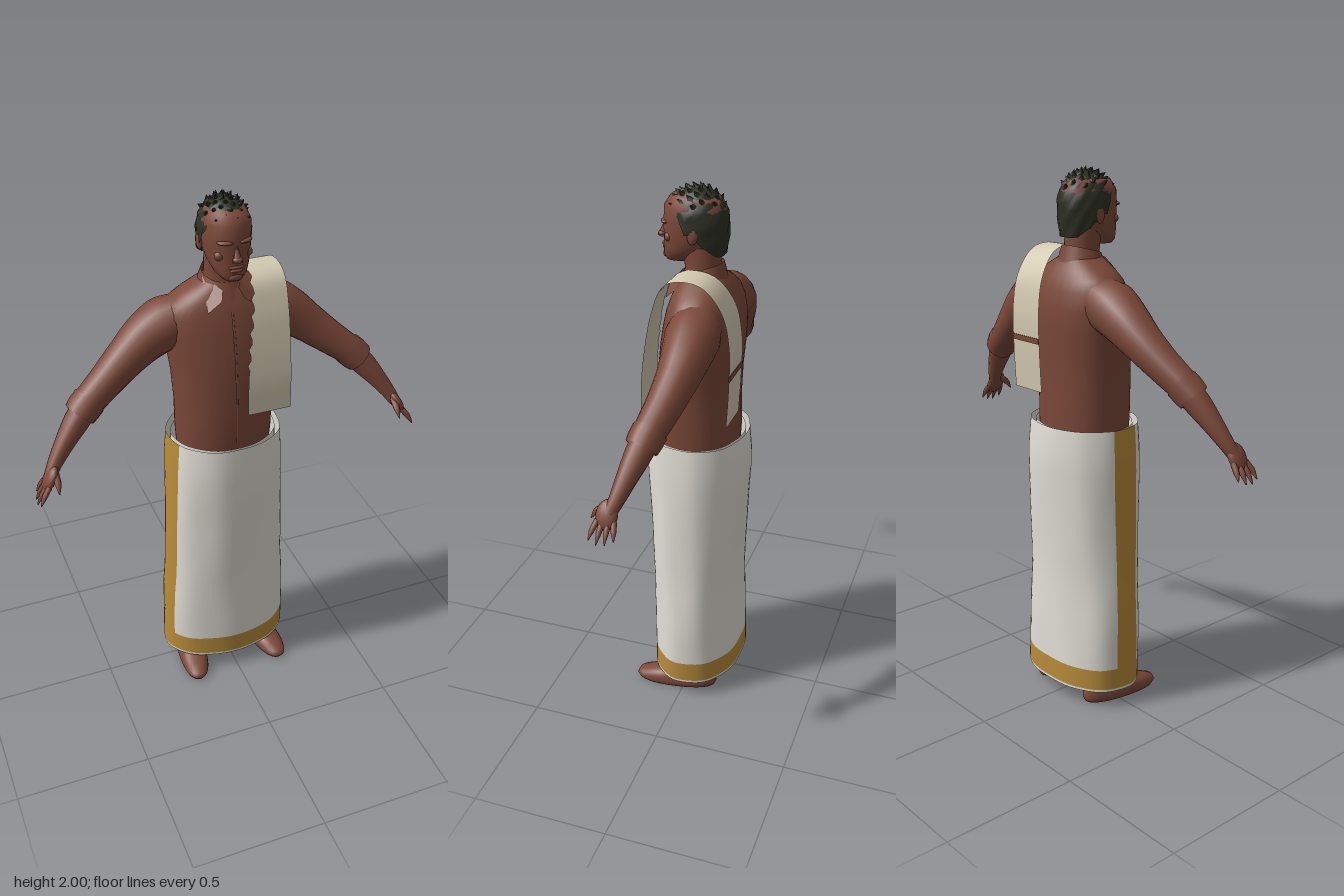
import * as THREE from 'three';

const mat = (name, color) => new THREE.MeshStandardMaterial({ name, color, side: THREE.DoubleSide });

// Closed-around grid: fn(angle, row) gives a point; pick(row, column) gives a material index
function grid(cols, rows, fn, pick) {
  const pos = [], faces = [[], []];
  for (let j = 0; j < rows; j++)
    for (let i = 0; i < cols; i++) pos.push(...fn((i / cols) * Math.PI * 2, j));
  for (let j = 0; j < rows - 1; j++)
    for (let i = 0; i < cols; i++) {
      const a = j * cols + i, b = j * cols + ((i + 1) % cols), c = a + cols, d = b + cols;
      faces[pick ? pick(j, i) : 0].push(a, c, b, b, c, d);
    }
  const g = new THREE.BufferGeometry();
  g.setAttribute('position', new THREE.Float32BufferAttribute(pos, 3));
  g.setIndex(faces.flat());
  if (pick) {
    g.addGroup(0, faces[0].length, 0);
    g.addGroup(faces[0].length, faces[1].length, 1);
  }
  g.computeVertexNormals();
  return g;
}

// Loft through rings [y, half width, front z, back z]
function loft(rings, { cols = 32, p = 1, wave = () => 0, tilt = 0, pick } = {}) {
  const pw = v => Math.sign(v) * Math.abs(v) ** p;
  return grid(cols, rings.length, (a, j) => {
    const [y, w, zf, zb] = rings[j], k = 1 + wave(a, y), s = pw(Math.sin(a));
    return [w * k * pw(Math.cos(a)), y - tilt * s, (zf + zb) / 2 + ((zf - zb) / 2) * k * s];
  }, pick);
}

// Round limb through points [x, y, z, radius]
function limb(pts, steps = 24, sides = 14) {
  const curve = new THREE.CatmullRomCurve3(pts.map(q => new THREE.Vector3(q[0], q[1], q[2])));
  const g = new THREE.TubeGeometry(curve, steps, 1, sides);
  const pos = g.attributes.position, nor = g.attributes.normal;
  for (let i = 0; i < pos.count; i++) {
    const t = curve.getUtoTmapping(Math.floor(i / (sides + 1)) / steps) * (pts.length - 1);
    const k = Math.min(Math.floor(t), pts.length - 2);
    const r = THREE.MathUtils.lerp(pts[k][3], pts[k + 1][3], t - k) - 1;
    pos.setXYZ(i, pos.getX(i) + nor.getX(i) * r, pos.getY(i) + nor.getY(i) * r, pos.getZ(i) + nor.getZ(i) * r);
  }
  return g;
}

export function createModel() {
  const model = new THREE.Group();
  const skin = mat('brown skin', 0x7b4839), hairMat = mat('dark hair', 0x2d2f23);
  const white = mat('white cotton', 0xe2dfd6), gold = mat('gold border', 0xb88c3a);
  const cream = mat('cream cloth', 0xd4cab2);
  const add = (name, geo, material, parent = model) => {
    const m = new THREE.Mesh(geo, material);
    m.name = name;
    parent.add(m);
    return m;
  };
  const ball = (name, parent, p, s, material = skin) => {
    const m = add(name, new THREE.SphereGeometry(1, 16, 12), material, parent);
    m.position.set(...p);
    m.scale.set(...s);
    return m;
  };

  // Torso with sloping shoulders
  add('torso', loft([
    [0.98, 0.17, 0.13, -0.15], [1.1, 0.178, 0.14, -0.155], [1.22, 0.18, 0.14, -0.152],
    [1.34, 0.188, 0.134, -0.156], [1.44, 0.2, 0.122, -0.164], [1.52, 0.212, 0.107, -0.164],
    [1.58, 0.212, 0.092, -0.152], [1.62, 0.19, 0.078, -0.138], [1.65, 0.15, 0.066, -0.12],
    [1.68, 0.095, 0.052, -0.1], [1.7, 0.06, 0.04, -0.08],
  ], { p: 0.88, cols: 40 }), skin);
  add('placket', limb([[0, 1.1, 0.138, 0.004], [0, 1.34, 0.132, 0.004], [0, 1.5, 0.11, 0.004],
    [0, 1.6, 0.085, 0.004]], 12, 6), skin);

  // Neck and collar
  add('neck', loft([[1.62, 0.066, 0.055, -0.085], [1.7, 0.062, 0.045, -0.082],
    [1.74, 0.062, 0.05, -0.082], [1.79, 0.062, 0.06, -0.08]]), skin);
  add('collarBand', loft([[1.655, 0.092, 0.072, -0.105], [1.69, 0.08, 0.058, -0.096],
    [1.715, 0.07, 0.05, -0.09]], { tilt: 0.018 }), skin);

  // Head with jaw, then facial features
  const head = new THREE.Group();
  head.name = 'head';
  model.add(head);
  add('skull', loft([
    [1.724, 0.001, 0.09, 0.07], [1.729, 0.034, 0.114, 0.03], [1.75, 0.054, 0.122, 0],
    [1.78, 0.068, 0.122, -0.05], [1.82, 0.078, 0.121, -0.085], [1.87, 0.084, 0.121, -0.1],
    [1.92, 0.082, 0.118, -0.098], [1.955, 0.064, 0.095, -0.075], [1.975, 0.001, 0.01, -0.005],
  ], { p: 0.92 }), skin, head);
  const nose = add('noseBridge', new THREE.ConeGeometry(0.018, 0.06, 8), skin, head);
  nose.position.set(0, 1.834, 0.124);
  nose.rotation.x = -0.2;
  ball('noseTip', head, [0, 1.813, 0.13], [0.018, 0.011, 0.015]);
  ball('upperLip', head, [0, 1.782, 0.119], [0.027, 0.006, 0.009]);
  ball('lowerLip', head, [0, 1.77, 0.118], [0.023, 0.007, 0.009]);
  ball('chin', head, [0, 1.745, 0.112], [0.026, 0.015, 0.014]);
  for (const s of [-1, 1]) {
    ball('brow', head, [s * 0.035, 1.868, 0.107], [0.028, 0.008, 0.015]).rotation.y = s * 0.35;
    ball('cheek', head, [s * 0.043, 1.818, 0.09], [0.025, 0.018, 0.016]);
    ball('ear', head, [s * 0.084, 1.84, -0.008], [0.01, 0.033, 0.02]).rotation.x = -0.15;
  }

  // Hair cap whose lower edge follows the hairline
  const hairRows = 12;
  add('hair', grid(40, hairRows, (a, j) => {
    const s = Math.sin(a), t = j / (hairRows - 1);
    const edge = s > 0.25 ? THREE.MathUtils.lerp(1.87, 1.925, Math.min(1, (s - 0.25) * 2.5))
      : THREE.MathUtils.lerp(1.84, 1.76, Math.min(1, Math.max(0, -s) * 1.2));
    const y = THREE.MathUtils.lerp(edge, 1.985, Math.sin(t * Math.PI / 2));
    const h = (y - 1.87) / (y > 1.87 ? 0.1151 : 0.26);
    const r = Math.sqrt(Math.max(0, 1 - h * h)) * (1 + 0.025 * Math.sin(a * 9 + j * 2.3));
    return [0.092 * r * Math.cos(a), y, 0.003 + 0.112 * r * s];
  }), hairMat, head);
  // Tufts spread in a spiral over the crown
  for (let i = 0; i < 38; i++) {
    const r = Math.sqrt((i + 0.5) / 38) * 0.87, a = i * 2.4;
    const m = add('hairTuft', new THREE.ConeGeometry(0.018, 0.034, 6), hairMat, head);
    const n = new THREE.Vector3(r * Math.cos(a), Math.sqrt(1 - r * r), r * Math.sin(a));
    m.position.set(n.x * 0.09, 1.872 + n.y * 0.113, 0.003 + n.z * 0.108);
    n.x += 0.4 * Math.sin(i * 1.7);
    n.z += 0.5;
    m.quaternion.setFromUnitVectors(new THREE.Vector3(0, 1, 0), n.normalize());
  }

  for (const s of [-1, 1]) {
    const side = s > 0 ? 'left' : 'right';
    // Collar point
    const flap = new THREE.BufferGeometry();
    flap.setAttribute('position', new THREE.Float32BufferAttribute([
      s * 0.074, 1.705, -0.01, s * 0.09, 1.612, 0.09, s * 0.04, 1.65, 0.092, s * 0.028, 1.68, 0.068], 3));
    flap.setIndex(s > 0 ? [0, 2, 1, 0, 3, 2] : [0, 1, 2, 0, 2, 3]);
    flap.computeVertexNormals();
    add(side + 'CollarPoint', flap, skin);

    // Arm with rolled sleeve, hand and fingers
    const arm = new THREE.Group();
    arm.name = side + 'Arm';
    model.add(arm);
    const path = (pts, ...n) => limb(pts.map(([x, y, z, r]) => [s * x, y, z, r]), ...n);
    add('sleeve', path([[0.1, 1.56, -0.04, 0.075], [0.2, 1.53, -0.048, 0.097], [0.27, 1.49, -0.048, 0.086],
      [0.34, 1.435, -0.04, 0.073], [0.42, 1.37, -0.022, 0.063], [0.5, 1.308, 0, 0.056]], 30, 18), skin, arm);
    add('rolledCuff', path([[0.488, 1.318, -0.004, 0.05], [0.495, 1.312, -0.002, 0.061],
      [0.52, 1.289, 0.006, 0.061], [0.54, 1.27, 0.012, 0.057], [0.543, 1.267, 0.013, 0.04]], 14, 18), skin, arm);
    add('forearm', path([[0.5, 1.308, 0, 0.05], [0.56, 1.242, 0.022, 0.045], [0.61, 1.18, 0.042, 0.035],
      [0.65, 1.125, 0.06, 0.027], [0.675, 1.085, 0.075, 0.022]]), skin, arm);
    ball('palm', arm, [s * 0.678, 1.082, 0.083], [0.02, 0.052, 0.039]).rotation.z = s * 0.5;
    for (let i = 0; i < 4; i++) {
      const z = 0.055 + i * 0.019, len = [0.75, 0.95, 1, 0.85][i];
      add('finger', path([[0.688, 1.065, z, 0.011], [0.688 + 0.027 * len, 1.065 - 0.035 * len, z + 0.006 * (i - 1), 0.01],
        [0.688 + 0.046 * len, 1.065 - 0.07 * len, z + 0.01 * (i - 1), 0.002]], 10, 8), skin, arm);
    }
    add('thumb', path([[0.66, 1.105, 0.09, 0.014], [0.659, 1.08, 0.125, 0.012], [0.662, 1.05, 0.147, 0.002]], 10, 8), skin, arm);

    // Leg and shoe
    add(side + 'Leg', loft([[0.04, 0.042, 0.01, -0.085], [0.12, 0.05, 0.025, -0.085], [0.5, 0.065, 0.06, -0.08],
      [1, 0.085, 0.1, -0.11]], { cols: 20 }).translate(s * 0.12, 0, 0), skin);
    const shoe = add(side + 'Shoe', loft([[0, 0.001, 0.04, 0.03], [0, 0.052, 0.19, -0.115], [0.014, 0.057, 0.2, -0.122],
      [0.032, 0.055, 0.192, -0.12], [0.047, 0.05, 0.15, -0.115], [0.062, 0.045, 0.085, -0.112],
      [0.085, 0.04, 0.03, -0.1]], { p: 0.88 }), skin);
    shoe.position.x = s * 0.15;
    shoe.rotation.y = s * 0.14;
  }

  // Wrapped skirt with gold hem and a gold stripe down its right side
  const skirt = [
    [0.07, 0.252, 0.155, -0.185], [0.08, 0.252, 0.155, -0.185], [0.16, 0.251, 0.155, -0.184],
    [0.25, 0.25, 0.156, -0.182], [0.36, 0.247, 0.155, -0.179], [0.47, 0.238, 0.157, -0.175],
    [0.58, 0.233, 0.163, -0.178], [0.7, 0.229, 0.167, -0.184], [0.82, 0.225, 0.173, -0.19],
    [0.92, 0.222, 0.179, -0.196], [1.0, 0.219, 0.179, -0.195], [1.09, 0.212, 0.174, -0.186]];
  const folds = (a, y) => 0.009 * Math.sin(5 * a + 4 * y) * Math.sin(y * 7) + 0.006 * Math.sin(9 * a - 3 * y);
  add('skirt', loft(skirt, { cols: 64, p: 0.93, wave: folds,
    pick: (j, i) => (j === 1 || (j > 0 && i >= 28 && i < 34) ? 1 : 0) }), [white, gold]);
  add('waistFold', loft([[0.97, 0.2, 0.162, -0.178], [1.085, 0.196, 0.158, -0.172]],
    { cols: 48, wave: folds }), white);

  // Folded cloth over the left shoulder, from front hem to back hem: [inner x, y, z]
  const drape = new THREE.CatmullRomCurve3([
    [0.04, 1.21, 0.146], [0.04, 1.34, 0.143], [0.055, 1.5, 0.122], [0.07, 1.6, 0.1], [0.078, 1.69, 0.062],
    [0.08, 1.717, 0.01], [0.075, 1.705, -0.08], [0.06, 1.62, -0.15], [0.052, 1.5, -0.176],
    [0.05, 1.36, -0.176], [0.05, 1.2, -0.168]].map(q => new THREE.Vector3(...q)));
  const cloth = new THREE.PlaneGeometry(1, 1, 1, 60), cp = cloth.attributes.position;
  for (let i = 0; i < cp.count; i++) {
    const k = Math.floor(i / 2), p = drape.getPointAt(1 - k / 60);
    const ragged = p.z > 0 && p.y > 1.38 ? 0.007 * Math.sin(k * 2.1) : 0;
    cp.setXYZ(i, i % 2 ? 0.202 : p.x + ragged, p.y, p.z);
  }
  cloth.computeVertexNormals();
  add('shoulderCloth', cloth, cream);
  const band = add('clothGap', new THREE.BoxGeometry(0.15, 0.02, 0.004), skin);
  band.position.set(0.127, 1.39, -0.178);
  return model;
}
